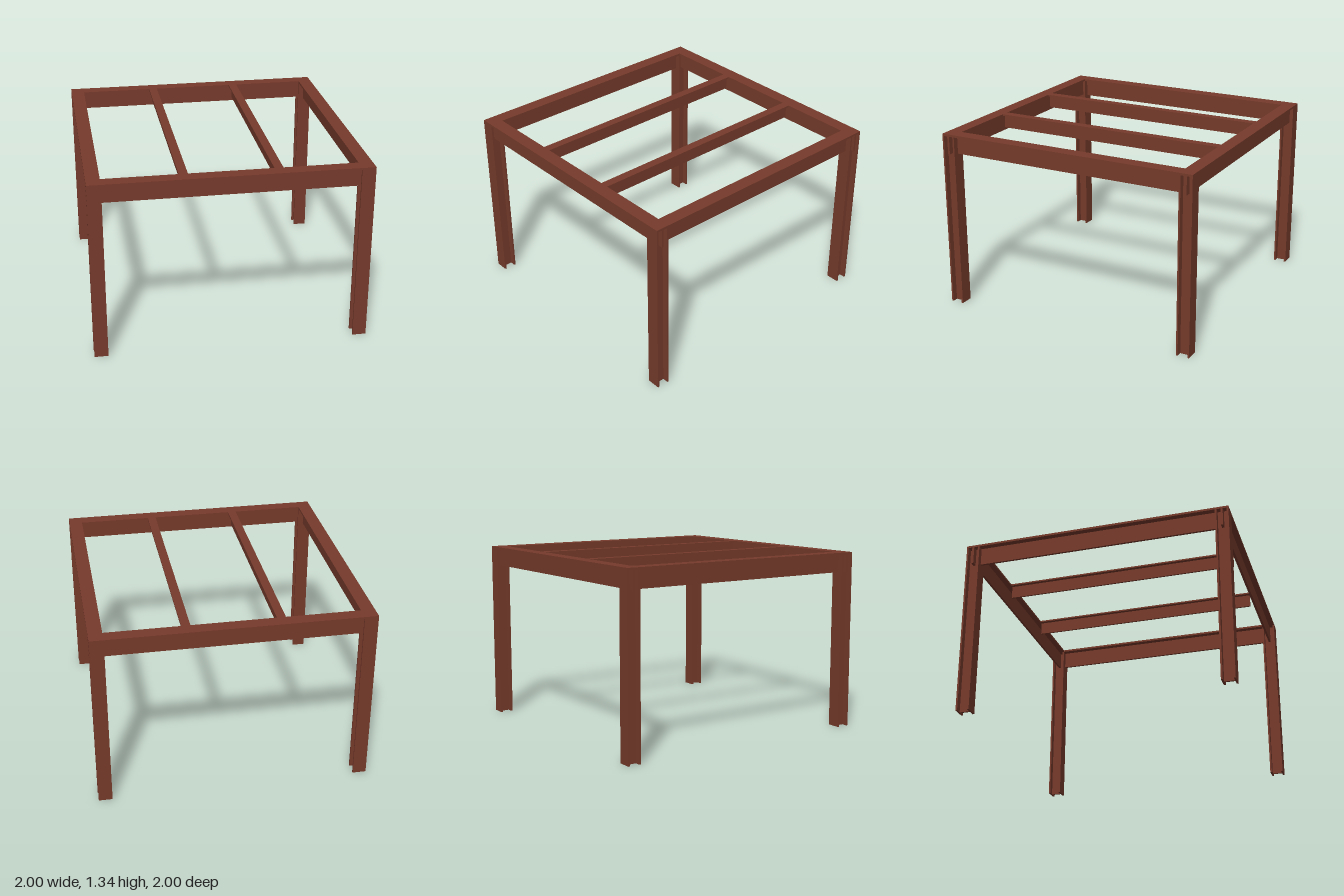
import * as THREE from 'three';

const TOP = 1.335;

export function createModel() {
  const model = new THREE.Group();
  model.name = 'steelFrame';
  const steel = new THREE.MeshStandardMaterial({ color: 0x763a2b });
  steel.name = 'redOxideSteel';

  // Extrudes a closed outline by a given length, centred on its length.
  function section(points, length) {
    const shape = new THREE.Shape(points.map(([x, y]) => new THREE.Vector2(x, y)));
    const geo = new THREE.ExtrudeGeometry(shape, { depth: length, bevelEnabled: false });
    return geo.translate(0, 0, -length / 2);
  }

  // T-section running along z, flange on top, top face at y = 0.
  function tee(width, height, flange, web, length) {
    const w = width / 2, t = web / 2;
    return section([
      [-w, 0], [-w, -flange], [-t, -flange], [-t, -height],
      [t, -height], [t, -flange], [w, -flange], [w, 0],
    ], length);
  }

  function add(name, geo, x, y, z) {
    const mesh = new THREE.Mesh(geo, steel);
    mesh.name = name;
    mesh.position.set(x, y, z);
    model.add(mesh);
    return mesh;
  }

  // H-section column with flanges facing front and back
  const h = 0.05, f = 0.037, w = 0.0065;
  const columnGeo = section([
    [-h, -h], [h, -h], [h, -f], [w, -f], [w, f], [h, f],
    [h, h], [-h, h], [-h, f], [-w, f], [-w, -f], [-h, -f],
  ], TOP).rotateX(-Math.PI / 2);

  // Front and back beams run over the columns; side beams fit between them
  const crossBeamGeo = tee(0.1, 0.15, 0.016, 0.016, 2).rotateY(Math.PI / 2);
  const sideBeamGeo = tee(0.1, 0.15, 0.016, 0.016, 1.8);
  const rafterGeo = tee(0.064, 0.11, 0.012, 0.012, 1.8);

  for (const s of [-1, 1]) {
    const side = s > 0 ? 'left' : 'right';
    add(side + 'FrontColumn', columnGeo, s * 0.95, TOP / 2, 0.95);
    add(side + 'BackColumn', columnGeo, s * 0.95, TOP / 2, -0.95);
    add(side + 'Beam', sideBeamGeo, s * 0.95, TOP, 0);
    add(side + 'Rafter', rafterGeo, s * 0.333, TOP, 0);
    add(s > 0 ? 'frontBeam' : 'backBeam', crossBeamGeo, 0, TOP, s * 0.95);
  }
  return model;
}
